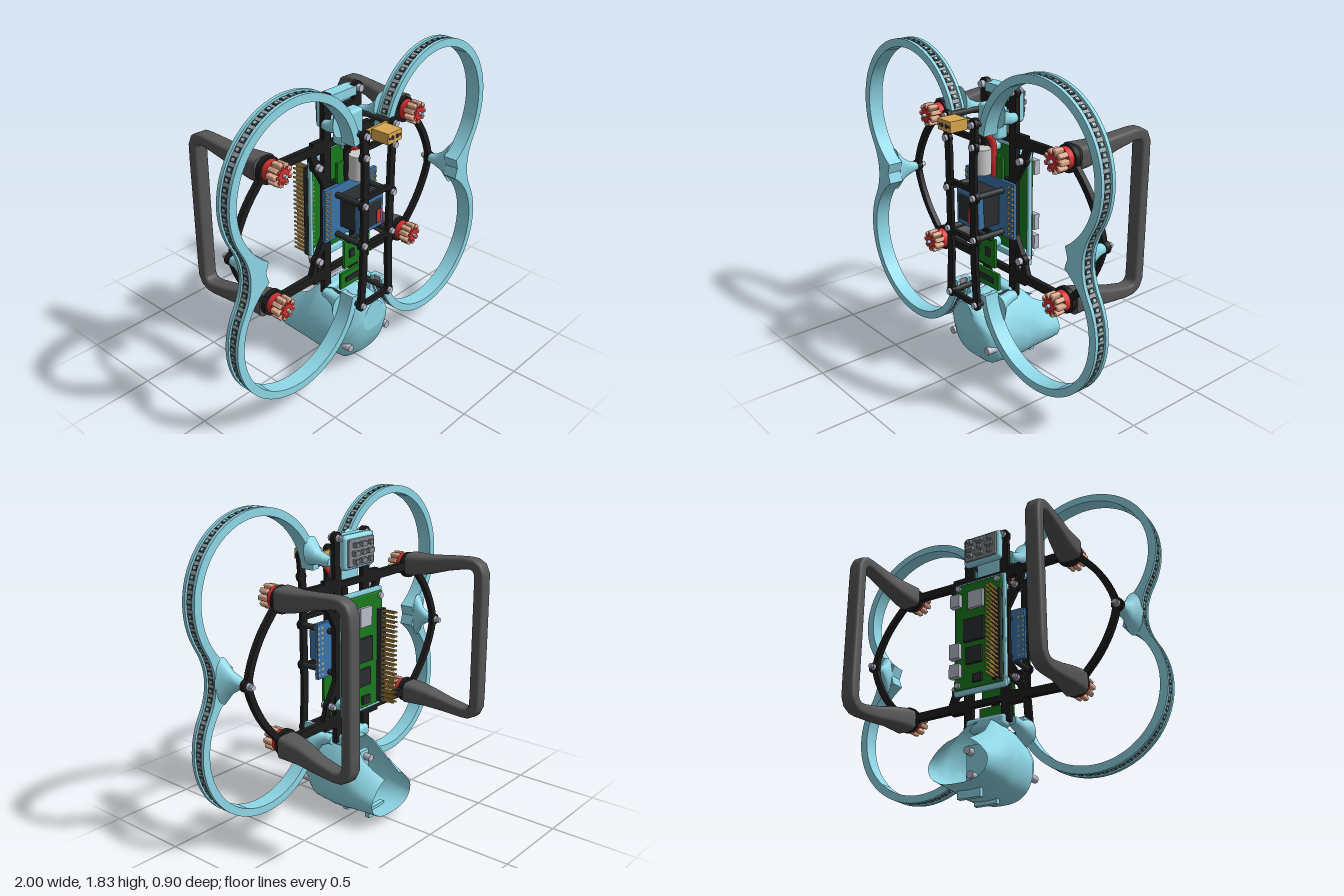
import * as THREE from 'three';
import { mergeGeometries } from 'three/addons/utils/BufferGeometryUtils.js';
import { RoundedBoxGeometry } from 'three/addons/geometries/RoundedBoxGeometry.js';

const SKY = 0x8fd8e8, CARBON = 0x1c1c1c, STEEL = 0xb9bccb, GREEN = 0x1a7a1e, BLUE = 0x3a74ab;
const GOLD = 0xd9a850, DARK = 0x2b2d30, RED = 0xd83030, COPPER = 0xdba68a, LEG = 0x565656;
const MID = 0.98, rad = THREE.MathUtils.degToRad;

// --- geometry helpers ---
const box = (x, y, z, w, h, d) => new THREE.BoxGeometry(w, h, d).translate(x, y, z);
const rbox = (x, y, z, w, h, d, r) => new RoundedBoxGeometry(w, h, d, 3, r).translate(x, y, z);
// cylinder along z from z0 to z1
const rod = (x, y, z0, z1, r, n = 20) =>
  new THREE.CylinderGeometry(r, r, z1 - z0, n).rotateX(Math.PI / 2).translate(x, y, (z0 + z1) / 2);
const extrude = (shape, z0, z1, seg = 48) =>
  new THREE.ExtrudeGeometry(shape, { depth: z1 - z0, bevelEnabled: false, curveSegments: seg }).translate(0, 0, z0);

// flat strip of width w following points, between z0 and z1
function strip(pts, w, z0, z1) {
  const p = pts.map(a => new THREE.Vector2(a[0], a[1]));
  const side = s => p.map((q, i) => {
    const t = p[Math.min(i + 1, p.length - 1)].clone().sub(p[Math.max(i - 1, 0)]).normalize();
    return new THREE.Vector2(q.x - t.y * s * w / 2, q.y + t.x * s * w / 2);
  });
  return extrude(new THREE.Shape([...side(-1), ...side(1).reverse()]), z0, z1);
}

// loft through stations [x, y, z, halfWidth, halfHeight, topGap]
function loft(st, { power = 3, taper = 0, dir = null, endCap = true, n = 32 } = {}) {
  const pos = [], idx = [], X = new THREE.Vector3(1, 0, 0);
  st.forEach((s, i) => {
    const a = st[Math.max(i - 1, 0)], b = st[Math.min(i + 1, st.length - 1)];
    const t = dir || new THREE.Vector3(0, b[1] - a[1], b[2] - a[2]).normalize();
    const v = t.clone().cross(X), gap = s[5] || 0;
    for (let k = 0; k <= n; k++) {
      const th = -Math.PI / 2 + gap + (k / n) * (2 * Math.PI - 2 * gap);
      const f = q => Math.sign(q) * Math.abs(q) ** (2 / power);
      const c = f(Math.cos(th)), d = f(Math.sin(th));
      const u = c * s[3] * (1 - taper * Math.max(0, -d));
      pos.push(s[0] + u, s[1] + v.y * d * s[4], s[2] + v.z * d * s[4]);
    }
  });
  const m = n + 1;
  for (let i = 0; i < st.length - 1; i++) for (let k = 0; k < n; k++) {
    const a = i * m + k, b = a + m;
    idx.push(a, a + 1, b + 1, a, b + 1, b);
  }
  const cap = (i, flip) => {
    const base = pos.length / 3;
    pos.push(st[i][0], st[i][1], st[i][2], ...pos.slice(i * m * 3, (i + 1) * m * 3));
    for (let k = 1; k <= n; k++) idx.push(base, base + k + (flip ? 1 : 0), base + k + (flip ? 0 : 1));
  };
  cap(0, true);
  if (endCap) cap(st.length - 1, false);
  const g = new THREE.BufferGeometry();
  g.setAttribute('position', new THREE.Float32BufferAttribute(pos, 3));
  g.setIndex(idx);
  g.computeVertexNormals();
  return g;
}

const plain = g => {
  const r = g.index ? g.toNonIndexed() : g.clone();
  r.deleteAttribute('uv');
  return r;
};
// a geometry plus its mirror image across x = 0
function both(...geos) {
  return geos.flatMap(g => {
    const a = plain(g), b = a.clone().scale(-1, 1, 1);
    for (const at of [b.attributes.position, b.attributes.normal])
      for (let i = 0; i < at.count; i += 3) {
        const t = [at.getX(i), at.getY(i), at.getZ(i)];
        at.setXYZ(i, at.getX(i + 2), at.getY(i + 2), at.getZ(i + 2)).setXYZ(i + 2, ...t);
      }
    return [a, b];
  });
}

// --- guard outline: two arcs joined by a concave waist ---
function guardPath(path, r) {
  path.absarc(0.55, 1.38, r, rad(172), rad(-30), true);
  const x = 0.55 + r * Math.cos(rad(30)), dy = 0.4 - r / 2;
  path.quadraticCurveTo(x - 0.1, MID, x, MID - dy);
  path.absarc(0.55, 0.58, r, rad(30), rad(-172), true);
  return path;
}
function guardShape(rOut, rIn) {
  const s = guardPath(new THREE.Shape(), rOut);
  s.absarc(0.55, 0.58, rIn, rad(-172), rad(57), false);
  s.lineTo(0.385 + rIn, MID);
  s.absarc(0.55, 1.38, rIn, rad(-57), rad(172), false);
  return s;
}

export function createModel() {
  const model = new THREE.Group();
  const part = (name, color, geos, side = THREE.FrontSide) => {
    const mesh = new THREE.Mesh(mergeGeometries(geos.map(plain)), new THREE.MeshStandardMaterial({ color, side }));
    mesh.name = name;
    model.add(mesh);
  };

  // Propeller guards: two flanges, inner wall and recessed light strip
  part('propellerGuards', SKY, both(extrude(guardShape(0.45, 0.405), 0.22, 0.24),
    extrude(guardShape(0.45, 0.405), 0.29, 0.31), extrude(guardShape(0.424, 0.405), 0.24, 0.29)));
  part('lightStrip', 0x9aa0a3, both(extrude(guardShape(0.438, 0.412), 0.24, 0.29)));
  const pts = guardPath(new THREE.Path(), 0.44).getSpacedPoints(72), chips = [], lenses = [];
  for (let i = 1; i < 72; i++) {
    const t = pts[i + 1].clone().sub(pts[i - 1]), a = Math.atan2(t.y, t.x);
    const put = g => g.rotateZ(a).translate(pts[i].x, pts[i].y, 0.265);
    chips.push(put(box(0, 0, 0, 0.028, 0.008, 0.032)));
    lenses.push(put(box(0, 0, 0, 0.014, 0.012, 0.018)));
  }
  part('lightChips', 0x36464c, both(...chips));
  part('lightLenses', 0x9ec9d2, both(...lenses));

  // Flared supports between the guards and the rear plate
  const flare = (x0, y0, x1, y1, w, h) => loft([[x0, y0, 0.225, w, h], [(x0 + 2 * x1) / 3, (y0 + 2 * y1) / 3, 0.18, w * 0.6, h * 0.5],
    [x1, y1, 0.13, 0.034, 0.032], [x1, y1, 0.095, 0.03, 0.025]], { power: 2.2, dir: new THREE.Vector3(0, 0, -1) });
  part('guardSupports', SKY, both(flare(0.84, MID, 0.81, MID, 0.055, 0.13),
    flare(0.16, 1.55, 0.14, 1.5, 0.06, 0.08), flare(0.16, 0.42, 0.14, 0.46, 0.06, 0.08)));

  // Rear carbon plate with arms, motor pads and bowed braces
  const Z0 = 0.065, Z1 = 0.095, mir = (y, s) => MID + s * (y - MID);
  const brace = new THREE.CatmullRomCurve3([[0.57, 1.37], [0.7, 1.22], [0.775, 1.08], [0.8, MID], [0.775, 0.88], [0.7, 0.74], [0.57, 0.59]]
    .map(p => new THREE.Vector3(p[0], p[1], 0))).getPoints(32).map(p => [p.x, p.y]);
  const rear = [strip(brace, 0.036, Z0, Z1), rod(0.81, MID, Z0, Z1, 0.035),
    strip([[0.12, 0.45], [0.12, 1.65]], 0.055, Z0, Z1), rod(0.12, 1.63, Z0, Z1, 0.035)];
  for (const s of [1, -1]) {
    const y = v => mir(v, s);
    rear.push(strip([[0.1, y(1.37)], [0.55, y(1.375)]], 0.05, Z0, Z1), rod(0.54, y(1.375), Z0, Z1, 0.075),
      strip([[0.24, y(1.375)], [0.2, y(1.27)]], 0.04, Z0, Z1), rod(0.195, y(1.27), Z0, Z1, 0.035),
      strip([[0.2, y(1.27)], [0.12, y(1.13)]], 0.04, Z0, Z1), box(0.17, y(1.375), 0.08, 0.12, 0.075, 0.03));
  }
  const bars = [1.55, 1.37, 1.12, 0.84, 0.59, 0.47].map(y => box(0, y, 0.08, 0.24, 0.035, 0.03));
  part('rearPlate', CARBON, [...both(...rear), ...bars]);

  // Narrow front plate and the posts that hold it
  const nodes = [1.5, 1.38, 1.1, 0.86, 0.47];
  const front = [strip([[0.12, 0.46], [0.105, 0.7], [0.105, 1.3], [0.12, 1.5]], 0.045, 0.335, 0.357)];
  nodes.forEach(y => front.push(rod(0.115, y, 0.335, 0.357, 0.032)));
  part('frontPlate', CARBON, [...both(...front),
    ...[1.43, 1.14, 0.85, 0.47].map(y => box(0, y, 0.346, 0.21, 0.03, 0.022))]);
  part('platePosts', DARK, both(...nodes.filter(y => y !== 1.38).map(y => rod(0.115, y, 0.09, 0.34, 0.017))));
  const screws = nodes.map(y => rod(0.115, y, 0.35, 0.372, 0.018));
  [[0.195, 1.27], [0.195, 0.69], [0.12, 1.63], [0.81, MID]].forEach(([x, y]) =>
    screws.push(rod(x, y, 0.045, 0.12, 0.02), rod(x, y, 0.03, 0.05, 0.014)));
  [1.41, 0.55].forEach(y => screws.push(rod(0.51, y, -0.01, 0.07, 0.015)));
  screws.push(rod(0.16, 0.18, 0.2, 0.315, 0.022));
  part('screws', STEEL, both(...screws));

  // Motors: base, radial windings, hub and shaft
  const red = [], copper = [], shafts = [];
  for (const y of [1.38, 0.585]) {
    red.push(rod(0.54, y, 0.09, 0.13, 0.06), rod(0.54, y, 0.13, 0.195, 0.035));
    shafts.push(rod(0.54, y, 0.19, 0.215, 0.011));
    for (let i = 0; i < 9; i++) {
      const a = (i / 9) * Math.PI * 2, put = g => g.rotateZ(a).translate(0.54, y, 0.16);
      copper.push(put(rbox(0.05, 0, 0, 0.034, 0.028, 0.062, 0.008)));
      red.push(put(box(0.035, 0, 0.028, 0.03, 0.014, 0.012)));
    }
  }
  part('motorBodies', RED, both(...red));
  part('motorWindings', COPPER, both(...copper));
  part('motorShafts', STEEL, both(...shafts));

  // U-shaped landing legs behind the motors
  const half = [[0.55, 1.385, 0.065, 0.072, 0.066], [0.553, 1.385, 0.02, 0.07, 0.064], [0.562, 1.395, -0.08, 0.058, 0.054],
    [0.576, 1.418, -0.2, 0.047, 0.042], [0.58, 1.434, -0.32, 0.044, 0.034], [0.58, 1.432, -0.36, 0.044, 0.034],
    [0.58, 1.415, -0.392, 0.044, 0.035], [0.58, 1.38, -0.408, 0.044, 0.035], [0.58, 1.3, -0.41, 0.044, 0.035]];
  const leg = [...half, ...half.map(([x, y, ...r]) => [x, 2 * MID - y, ...r]).reverse()];
  part('landingLegs', LEG, both(loft(leg, { power: 4 })));

  // Nose pod: egg-like shell, open at the back and notched on top
  const pod = [[0.345, 0.26, 0.44, 0.09], [0.33, 0.2, 0.45, 0.13], [0.29, 0.09, 0.46, 0.17], [0.23, 0.035, 0.465, 0.195], [0.1, 0.02, 0.48, 0.2],
    [0.03, 0.02, 0.47, 0.2, 0.3], [-0.02, 0.03, 0.45, 0.2, 0.5], [-0.09, 0.04, 0.38, 0.195, 0.6], [-0.15, 0.045, 0.34, 0.19, 0.6], [-0.225, 0.05, 0.29, 0.18, 0.5]]
    .map(([z, lo, hi, w, gap = 0]) => [0, (lo + hi) / 2, z, w, (hi - lo) / 2, gap]);
  part('nosePod', SKY, [loft(pod, { power: 2.6, taper: 0.4, dir: new THREE.Vector3(0, 0, -1), endCap: false, n: 56 })], THREE.DoubleSide);
  part('podRibs', SKY, [box(0, 0.025, 0.065, 0.14, 0.05, 0.03), box(0, 0.03, -0.1, 0.14, 0.06, 0.03)]);
  part('podMount', SKY, [rbox(0, 0.46, 0.08, 0.25, 0.07, 0.08, 0.02), box(0, 0.22, 0.05, 0.22, 0.24, 0.03)]);
  part('podScrews', STEEL, both(rod(0.08, 0.3, -0.01, 0.05, 0.022), rod(0.06, 0.16, -0.01, 0.05, 0.022)));

  // Central electronics stack
  part('sensorBoard', BLUE, [box(0, 0.995, 0.15, 0.42, 0.32, 0.02), rbox(0, 0.995, 0.29, 0.19, 0.21, 0.05, 0.015)]);
  part('sensorScreen', DARK, [rbox(0, 0.995, 0.312, 0.14, 0.15, 0.016, 0.006), box(0, 0.995, 0.21, 0.17, 0.2, 0.11)]);
  part('sensorLabels', RED, [box(0.045, 0.97, 0.32, 0.035, 0.08, 0.008)]);
  const pads = [];
  for (let i = 0; i < 10; i++) [0.17, 0.2].forEach(x => pads.push(rod(x, 0.86 + i * 0.03, 0.14, 0.168, 0.008, 8)));
  part('boardPads', GOLD, both(...pads));
  part('radioBoards', GREEN, [box(0, 0.73, 0.2, 0.21, 0.17, 0.016), box(0, 0.55, 0.18, 0.22, 0.1, 0.016), box(0, 1.21, 0.14, 0.2, 0.13, 0.016)]);
  part('radioChips', DARK, [...both(box(0.05, 0.73, 0.212, 0.035, 0.05, 0.012)), box(0, 0.82, 0.21, 0.17, 0.02, 0.03), box(0, 0.55, 0.19, 0.14, 0.03, 0.012)]);
  part('capacitor', 0xc9c9c9, [new THREE.CylinderGeometry(0.055, 0.055, 0.14, 28).translate(0, 1.25, 0.21)]);
  const cable = x => new THREE.TubeGeometry(new THREE.CatmullRomCurve3([[x, 1.15, 0.14], [x, 1.25, 0.15], [x, 1.36, 0.16], [x * 0.8, 1.44, 0.24], [x * 0.6, 1.48, 0.33]]
    .map(p => new THREE.Vector3(...p))), 32, 0.02, 10);
  part('redCable', RED, [cable(0.03)]);
  part('blackCable', CARBON, [cable(-0.03)]);
  part('powerPlug', GOLD, [box(0, 1.49, 0.395, 0.11, 0.06, 0.11), box(0, 1.48, 0.315, 0.2, 0.05, 0.02)]);
  part('plugSockets', DARK, both(rod(0.018, 1.49, 0.44, 0.452, 0.012), rod(0.04, 1.49, 0.44, 0.452, 0.007)));

  // Rear computer on its frame
  part('computerFrame', SKY, [...both(rbox(0.16, MID, 0.005, 0.02, 0.7, 0.025, 0.006), rod(0.12, 1.27, 0, 0.065, 0.032),
    rod(0.12, 0.68, 0, 0.065, 0.032)), rbox(0, 1.31, 0.005, 0.34, 0.04, 0.025, 0.006), rbox(0, 0.645, 0.005, 0.34, 0.04, 0.025, 0.006)]);
  part('computerBoard', GREEN, [rbox(0, MID, -0.018, 0.31, 0.66, 0.016, 0.006)]);
  part('computerChips', DARK, [box(0.02, 1.0, -0.035, 0.13, 0.14, 0.022), box(0.02, 0.84, -0.035, 0.1, 0.1, 0.02),
    box(0, 0.7, -0.032, 0.06, 0.05, 0.016), box(-0.13, 0.935, -0.038, 0.05, 0.55, 0.026)]);
  part('computerPorts', STEEL, [box(0.14, 1.2, -0.04, 0.06, 0.08, 0.035), box(0.14, 0.88, -0.04, 0.065, 0.09, 0.035),
    box(0.14, 0.76, -0.04, 0.065, 0.08, 0.035), box(0.01, 1.19, -0.034, 0.1, 0.11, 0.02), ...both(rod(0.13, 1.285, -0.04, 0, 0.017), rod(0.13, 0.675, -0.04, 0, 0.017))]);
  const pins = [];
  for (let i = 0; i < 20; i++) [-0.118, -0.142].forEach(x => pins.push(box(x, 0.67 + i * 0.0279, -0.075, 0.009, 0.009, 0.13)));
  part('headerPins', GOLD, pins);

  // Rear receiver in a rounded tray above the computer
  part('receiverTray', SKY, [rbox(0, 1.55, 0.035, 0.25, 0.19, 0.05, 0.02), rbox(0, 1.46, 0.13, 0.17, 0.18, 0.08, 0.02), box(0, 1.62, 0.075, 0.2, 0.05, 0.05)]);
  const bits = [rbox(0, 1.55, 0.005, 0.21, 0.15, 0.02, 0.005)];
  for (let i = 0; i < 9; i++) bits.push(box(-0.065 + (i % 3) * 0.065, 1.505 + Math.floor(i / 3) * 0.045, -0.012, 0.025 + (i % 2) * 0.02, 0.025, 0.02 + (i % 3) * 0.01));
  part('receiverBoard', 0x858a90, bits);
  return model;
}
